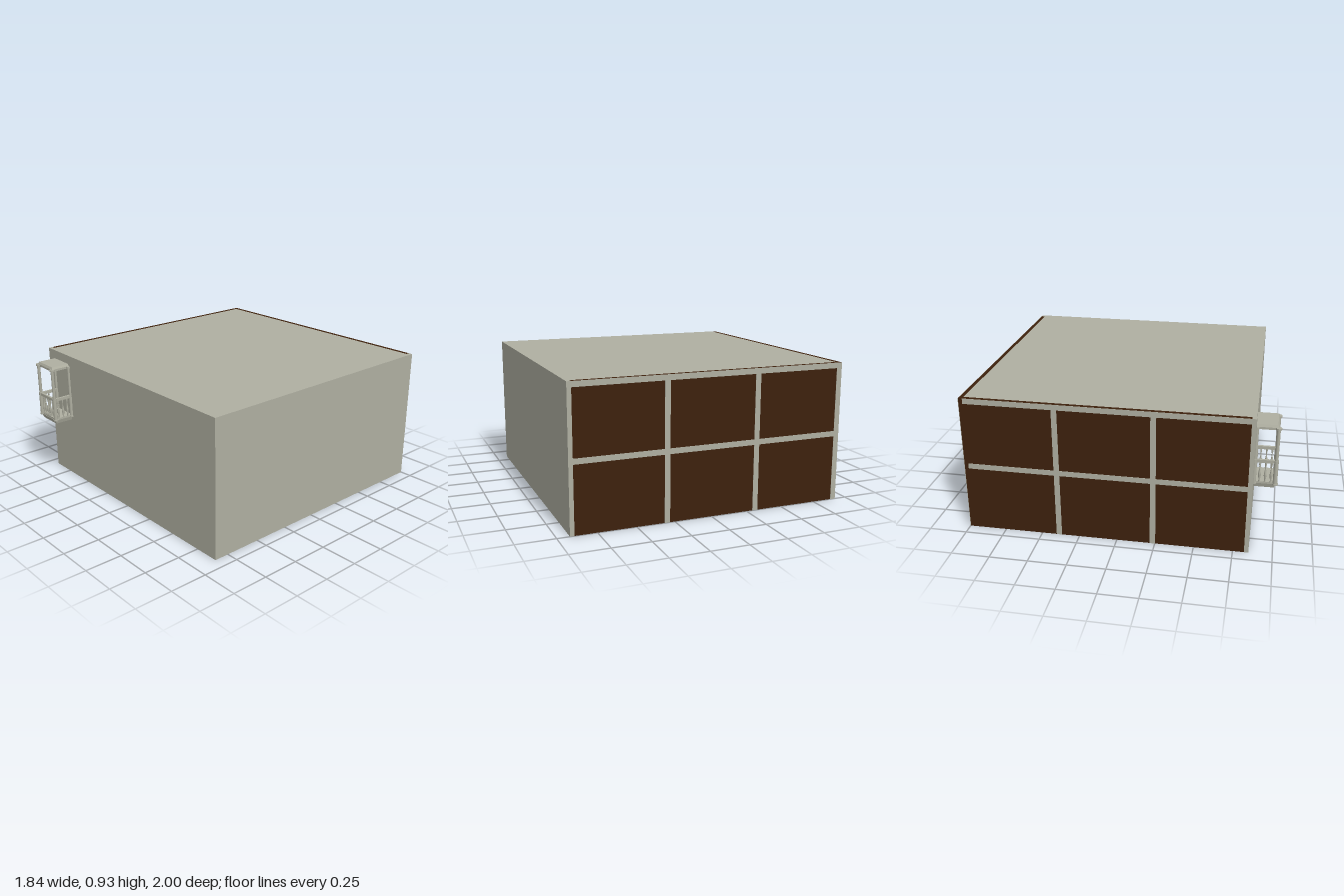
import * as THREE from 'three';

const stone = new THREE.MeshStandardMaterial({ color: 0xafafa1 });
stone.name = 'stone grey';
const wood = new THREE.MeshStandardMaterial({ color: 0x3d210d });
wood.name = 'dark brown';

// Box given by its lower and upper bounds
function box(parent, name, mat, x0, x1, y0, y1, z0, z1) {
  const mesh = new THREE.Mesh(new THREE.BoxGeometry(x1 - x0, y1 - y0, z1 - z0), mat);
  mesh.position.set((x0 + x1) / 2, (y0 + y1) / 2, (z0 + z1) / 2);
  mesh.name = name;
  parent.add(mesh);
  return mesh;
}

// Box whose top (sign 1) or bottom (sign -1) face is drawn in at the sides and front
function taperedBox(parent, name, sign, inset, ...bounds) {
  const mesh = box(parent, name, stone, ...bounds);
  const p = mesh.geometry.attributes.position;
  for (let i = 0; i < p.count; i++) {
    if (p.getY(i) * sign < 0) continue;
    p.setX(i, p.getX(i) - Math.sign(p.getX(i)) * inset);
    if (p.getZ(i) > 0) p.setZ(i, p.getZ(i) - inset);
  }
  mesh.geometry.computeVertexNormals();
}

function cylinder(parent, name, x, z, r, y0, y1) {
  const mesh = new THREE.Mesh(new THREE.CylinderGeometry(r, r, y1 - y0, 16), stone);
  mesh.position.set(x, (y0 + y1) / 2, z);
  mesh.name = name;
  parent.add(mesh);
}

const X = 0.92, H = 0.925, T = 0.028, BACK = -1, FRONT = 0.85;

function createHall() {
  const hall = new THREE.Group();
  hall.name = 'hall';
  // Hollow shell, open underneath
  box(hall, 'frontWall', stone, -X, X, 0, H, FRONT - T, FRONT);
  box(hall, 'leftWall', stone, X - T, X, 0, H, BACK, FRONT - T);
  box(hall, 'roof', stone, -X + T, X - T, H - 0.022, H, BACK + T, FRONT - T);
  box(hall, 'backWall', wood, -X + 0.002, X - T, 0, H, BACK + 0.002, BACK + T);
  box(hall, 'rightWall', wood, -X + 0.002, -X + T, 0, H, BACK + T, FRONT - T);

  // Thin framing strips over the two brown walls
  const w = 0.036, d = 0.002;
  const rows = [H - w, 0.435];
  for (const y of rows) {
    box(hall, 'backRail', stone, -X, X - T, y, y + w, BACK, BACK + d);
    box(hall, 'rightRail', stone, -X, -X + d, y, y + w, BACK + T, FRONT - T);
  }
  for (const x of [-X + w / 2, -0.31, 0.3]) {
    box(hall, 'backStud', stone, x - w / 2, x + w / 2, 0, H, BACK, BACK + d);
  }
  for (const z of [-0.385, 0.235]) {
    box(hall, 'rightStud', stone, -X, -X + d, 0, H, z - w / 2, z + w / 2);
  }
  return hall;
}

function createBalcony() {
  const balcony = new THREE.Group();
  balcony.name = 'balcony';
  const cx = -0.755, hw = 0.095, zf = 0.982;
  const l = cx - hw, r = cx + hw;

  // Base, floor and canopy
  taperedBox(balcony, 'base', -1, 0.008, l, r, 0.44, 0.467, FRONT, 0.985);
  box(balcony, 'floor', stone, l, r, 0.467, 0.48, FRONT, zf);
  box(balcony, 'cornice', stone, l, r, 0.832, 0.848, FRONT, zf);
  taperedBox(balcony, 'canopy', 1, 0.008, l - 0.003, r + 0.003, 0.848, 0.863, FRONT, 0.985);

  // Corner columns with round pads
  for (const x of [l, r]) {
    for (const z of [FRONT + 0.002, zf]) {
      cylinder(balcony, 'column', x, z, 0.011, 0.47, 0.84);
      cylinder(balcony, 'newel', x, z, 0.014, 0.475, 0.632);
      cylinder(balcony, 'footPad', x, z, 0.018, 0.466, 0.476);
      cylinder(balcony, 'capital', x, z, 0.018, 0.836, 0.848);
    }
    box(balcony, 'sideHandrail', stone, x - 0.008, x + 0.008, 0.612, 0.632, FRONT, zf);
  }
  box(balcony, 'frontHandrail', stone, l, r, 0.612, 0.632, zf - 0.008, zf + 0.008);

  // Turned balusters
  const profile = [[0.006, 0], [0.004, 0.015], [0.009, 0.045], [0.008, 0.058],
    [0.003, 0.09], [0.003, 0.105], [0.006, 0.118], [0.005, 0.134]];
  const geo = new THREE.LatheGeometry(profile.map(([a, b]) => new THREE.Vector2(a, b)), 10);
  const spots = [];
  for (let i = -2; i <= 2; i++) spots.push([cx + i * 0.03, zf]);
  for (const z of [0.885, 0.92, 0.955]) spots.push([l, z], [r, z]);
  for (const [x, z] of spots) {
    const baluster = new THREE.Mesh(geo, stone);
    baluster.position.set(x, 0.479, z);
    baluster.name = 'baluster';
    balcony.add(baluster);
  }
  return balcony;
}

export function createModel() {
  const model = new THREE.Group();
  model.name = 'building';
  model.add(createHall(), createBalcony());
  return model;
}
